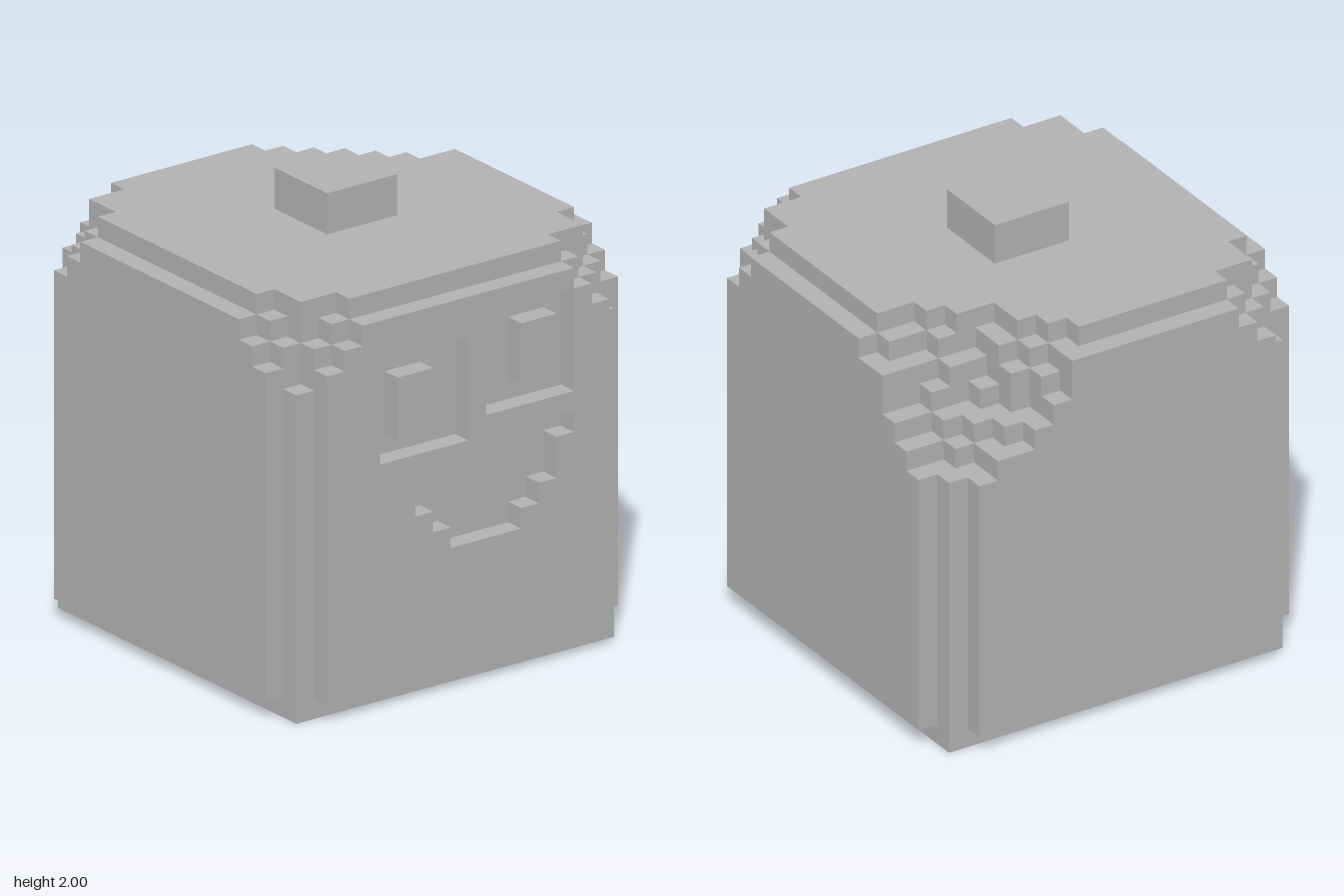
import * as THREE from 'three';

const U = 1 / 11;      // size of one cube
const N = 20;          // body width in cubes

// Column heights of the chipped corner: one row per z, one entry per x
const chip = [
  [0, 0, 14, 15, 16, 18, 18],
  [0, 14, 14, 15, 16, 18, 19],
  [14, 14, 15, 16, 17, 18, 19],
  [15, 15, 16, 16, 18, 19, 20],
  [15, 16, 16, 17, 18, 20],
  [16, 16, 18, 19, 19, 20],
  [17, 18, 19, 20],
  [19, 19, 20],
];

// Mouth rows as [y, first z, last z]
const mouth = [[7, 7, 10], [8, 6, 11], [9, 5, 12], [10, 5, 9], [11, 4, 6]];

const edgeDist = (i) => Math.min(i, N - 1 - i);
const inRect = (k, j, k0, k1, j0, j1) => k >= k0 && k <= k1 && j >= j0 && j <= j1;

// Top of the column at (i, k), with stepped corners
function height(i, k) {
  const chipped = chip[k]?.[i];
  if (chipped !== undefined) return chipped;
  const a = edgeDist(i), c = edgeDist(k);
  const edge = Math.min(a, c), along = Math.min(Math.max(a, c), 4);
  if (edge === 0) return [0, 0, 17, 18, 19][along];
  if (edge === 1) return [0, 16, 18, 19, 20][along];
  return 20;
}

const isPupil = (j, k) => inRect(k, j, 12, 13, 13, 15) || inRect(k, j, 5, 6, 14, 16);

// Eye sockets and mouth cut through the side panel
function isCarved(j, k) {
  if (isPupil(j, k)) return false;
  return inRect(k, j, 10, 14, 12, 16) || inRect(k, j, 4, 8, 13, 17) ||
    mouth.some(([y, z0, z1]) => j === y && k >= z0 && k <= z1);
}

// Name of the part that fills a cube, or null where it is empty
function partAt(i, j, k) {
  if (i < 0 || k < 0 || j < 0 || i >= N || k >= N) return null;
  if (j >= 20) return j < 22 && inRect(i, k, 8, 11, 8, 11) ? 'stem' : null;
  if (j >= height(i, k)) return null;
  const outer = Math.min(edgeDist(i), edgeDist(k)) === 0;
  if (!outer) return 'body';
  if (j < 1) return null;
  if (i === N - 1) {
    if (isCarved(j, k)) return null;
    return isPupil(j, k) ? 'pupils' : 'facePanel';
  }
  if (i === 0) return 'plainSidePanel';
  return k === 0 ? 'backPanel' : 'frontPanel';
}

export function createModel() {
  const grey = new THREE.MeshStandardMaterial({ color: 0xb2b2b2 });
  grey.name = 'grey';
  const parts = {};

  // Add a square for every cube side that meets empty space
  function addSides(name, cell) {
    const part = (parts[name] ??= { positions: [], normals: [] });
    for (let axis = 0; axis < 3; axis++) {
      for (const sign of [1, -1]) {
        const next = [...cell];
        next[axis] += sign;
        if (partAt(...next)) continue;
        const u = (axis + 1) % 3, v = (axis + 2) % 3;
        const corners = [[0, 0], [1, 0], [1, 1], [0, 1]].map(([du, dv]) => {
          const p = [...cell];
          p[axis] += sign > 0 ? 1 : 0;
          p[u] += du;
          p[v] += dv;
          return [(p[0] - N / 2) * U, p[1] * U, (p[2] - N / 2) * U];
        });
        const normal = [0, 0, 0];
        normal[axis] = sign;
        for (const n of sign > 0 ? [0, 1, 2, 0, 2, 3] : [0, 2, 1, 0, 3, 2]) {
          part.positions.push(...corners[n]);
          part.normals.push(...normal);
        }
      }
    }
  }

  for (let i = 0; i < N; i++)
    for (let j = 0; j < 22; j++)
      for (let k = 0; k < N; k++) {
        const name = partAt(i, j, k);
        if (name) addSides(name, [i, j, k]);
      }

  const model = new THREE.Group();
  model.name = 'blockyHead';
  for (const [name, { positions, normals }] of Object.entries(parts)) {
    const geometry = new THREE.BufferGeometry();
    geometry.setAttribute('position', new THREE.Float32BufferAttribute(positions, 3));
    geometry.setAttribute('normal', new THREE.Float32BufferAttribute(normals, 3));
    const mesh = new THREE.Mesh(geometry, grey);
    mesh.name = name;
    model.add(mesh);
  }
  return model;
}
